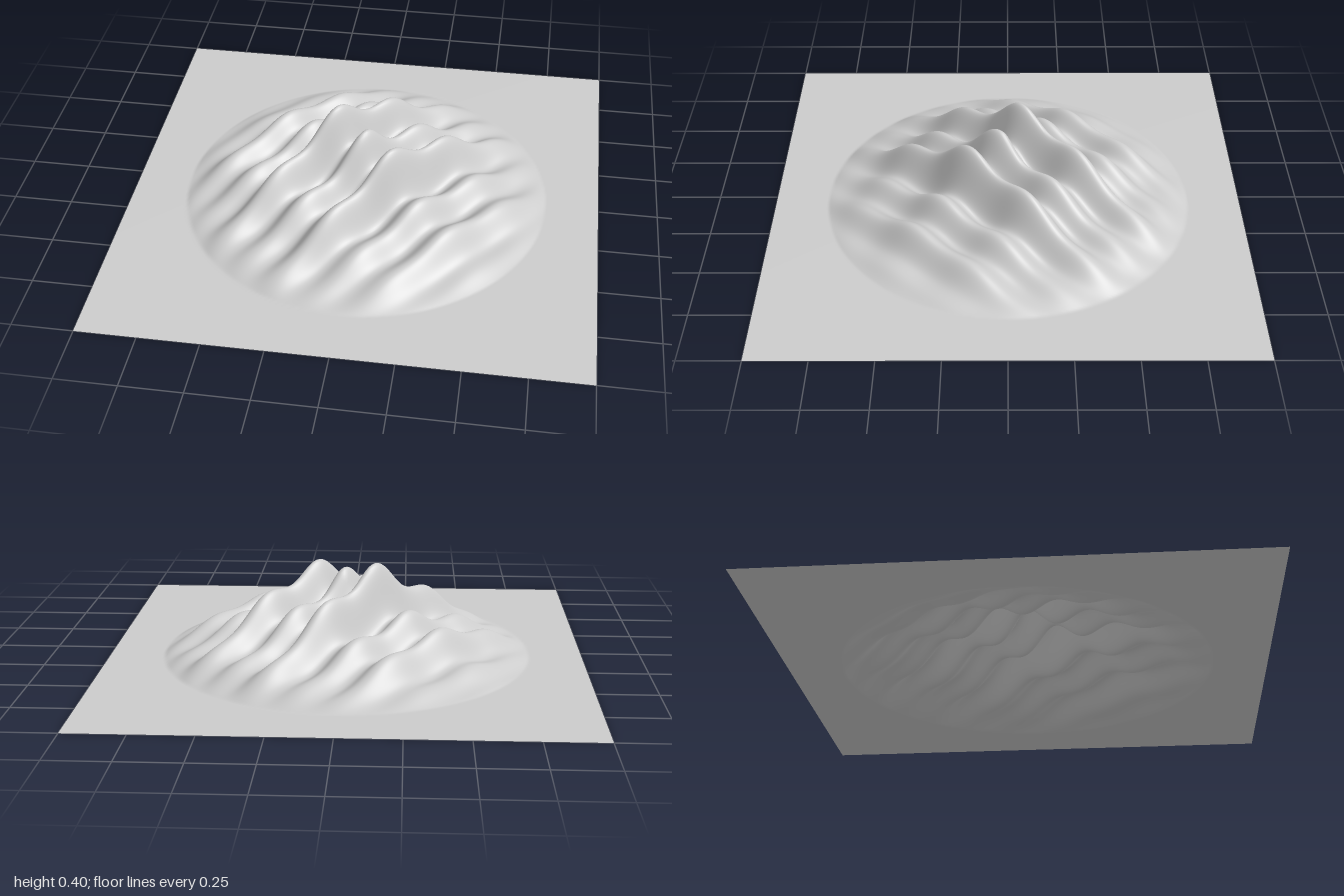
import * as THREE from 'three';

const RADIUS = 0.775;          // foot of the mound
const ANGLE = THREE.MathUtils.degToRad(40); // direction across the ridges
const wave = (t, peak, period) => Math.cos((2 * Math.PI * (t - peak)) / period);

// Cone-shaped envelope, modulated by ridges across u and bumps along v
function height(x, z) {
  const cone = 1 - Math.hypot(x, z) / RADIUS;
  if (cone <= 0) return 0;
  const u = x * Math.cos(ANGLE) + z * Math.sin(ANGLE);
  const v = x * Math.sin(ANGLE) - z * Math.cos(ANGLE);
  const ridges = 0.085 * wave(u, 0.034, 0.172);
  const alternation = 0.055 * wave(u, 0.206, 0.344);
  const bumps = 0.045 * wave(v, -0.05, 0.345);
  return cone * (0.31 + ridges + alternation + bumps);
}

export function createModel() {
  const model = new THREE.Group();
  model.name = 'rippledTerrain';

  const grey = new THREE.MeshStandardMaterial({ color: 0xcccccc, side: THREE.DoubleSide });
  grey.name = 'light grey';

  // Square sheet raised into a ridged mound
  const sheet = new THREE.PlaneGeometry(2, 2, 240, 240).rotateX(-Math.PI / 2);
  const p = sheet.attributes.position;
  for (let i = 0; i < p.count; i++) p.setY(i, height(p.getX(i), p.getZ(i)));
  sheet.computeVertexNormals();

  const terrain = new THREE.Mesh(sheet, grey);
  terrain.name = 'terrainSheet';
  model.add(terrain);
  return model;
}
